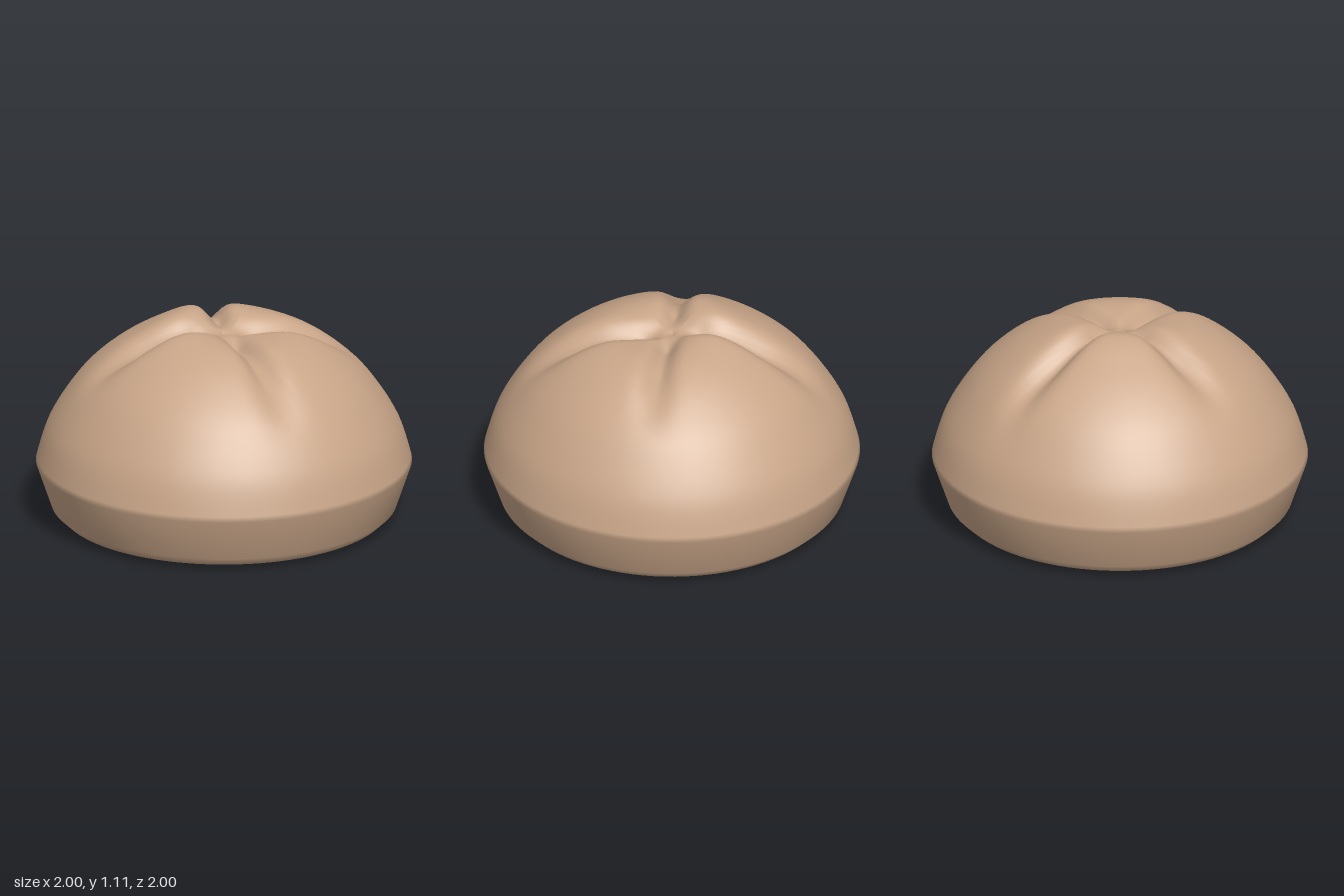
import * as THREE from 'three';
import { mergeVertices } from 'three/addons/utils/BufferGeometryUtils.js';

const SEGMENTS = 96;
const V = (r, y) => new THREE.Vector2(r, y);

// Pleats pressed into the top: direction (degrees from +x towards +z), reach, depth
const pleats = [
  { angle: -49, reach: 0.92, depth: 0.085 },
  { angle: 41, reach: 0.78, depth: 0.07 },
  { angle: 119, reach: 0.88, depth: 0.08 },
  { angle: 217, reach: 0.84, depth: 0.075 },
];

// Amount pressed in at a point, strongest near the middle and fading outwards
function pleatDepth(x, z) {
  const r = Math.hypot(x, z);
  let d = 0;
  for (const p of pleats) {
    const a = Math.atan2(z, x) - THREE.MathUtils.degToRad(p.angle);
    if (Math.cos(a) <= 0) continue;
    const across = r * Math.sin(a);
    const width = 0.05 + 0.05 * r;
    const fade = THREE.MathUtils.smoothstep(r, 0.02, 0.18)
      * (1 - THREE.MathUtils.smoothstep(r, p.reach * 0.5, p.reach));
    d = Math.max(d, p.depth * fade * Math.exp(-((across / width) ** 2)));
  }
  return d;
}

function bunGeometry() {
  // Open flat base, sharp widest edge, then a smooth dome with a dimple
  const base = [V(0.75, 0), V(0.87, 0.022), V(0.92, 0.07)];
  const dome = new THREE.SplineCurve([
    V(1, 0.305), V(0.94, 0.5), V(0.835, 0.68), V(0.72, 0.82), V(0.56, 0.95),
    V(0.4, 1.035), V(0.27, 1.07), V(0.16, 1.065), V(0.07, 1.03), V(0, 1.005),
  ]).getPoints(45);
  const lathe = new THREE.LatheGeometry([...base, ...dome], SEGMENTS);
  lathe.deleteAttribute('uv');
  lathe.deleteAttribute('normal');
  const geo = mergeVertices(lathe, 1e-4);

  const pos = geo.attributes.position;
  const p = new THREE.Vector3();
  const dir = new THREE.Vector3();
  for (let i = 0; i < pos.count; i++) {
    p.fromBufferAttribute(pos, i);
    if (p.y < 0.35) continue;
    const r = Math.hypot(p.x, p.z);
    // Back fold stands higher than the front one
    const lip = Math.exp(-(((r - 0.22) / 0.16) ** 2));
    const tilt = r > 0.01 ? -p.z / r : 0;
    const d = pleatDepth(p.x, p.z);
    dir.set(p.x * 0.8, Math.max(p.y - 0.2, 0.1), p.z * 0.8).normalize();
    p.addScaledVector(dir, -d);
    p.y += 0.035 * lip * tilt;
    pos.setXYZ(i, p.x, p.y, p.z);
  }
  geo.computeVertexNormals();
  return geo;
}

export function createModel() {
  const group = new THREE.Group();
  group.name = 'steamedBun';
  const dough = new THREE.MeshStandardMaterial({ color: 0xc8a588, side: THREE.DoubleSide });
  dough.name = 'dough';
  const bun = new THREE.Mesh(bunGeometry(), dough);
  bun.name = 'pleatedBun';
  group.add(bun);
  return group;
}
